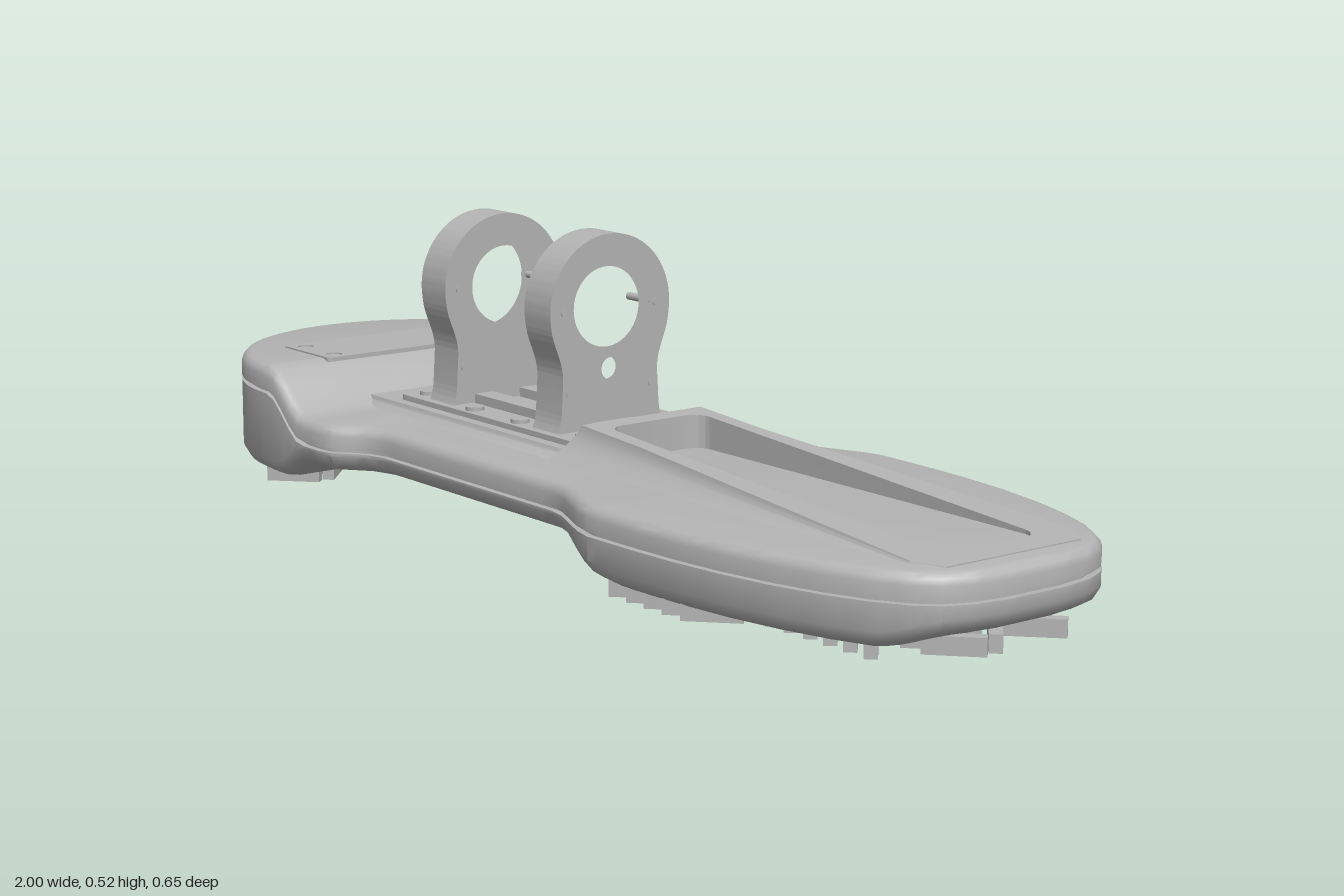
import * as THREE from 'three';
import { mergeGeometries, toCreasedNormals } from 'three/addons/utils/BufferGeometryUtils.js';

const grey = new THREE.MeshStandardMaterial({ color: 0xb4b4b4 });
grey.name = 'machinedGrey';

// Smoothly eased curve through [x, value] stops
const curve = (stops) => (x) => {
  let i = 1;
  while (i < stops.length - 1 && x > stops[i][0]) i++;
  const [x0, a] = stops[i - 1], [x1, b] = stops[i];
  return a + (b - a) * THREE.MathUtils.smoothstep(x, x0, x1);
};
const bottomY = curve([[-1, .06], [-.93, .03], [-.86, .02], [-.66, .02], [-.55, .06], [.12, .06], [.38, .02], [.88, .02], [1, .045]]);
const seamY = curve([[-1, .182], [-.68, .182], [-.56, .104], [1, .104]]);
const topY = curve([[-1, .23], [-.68, .23], [-.56, .15], [1, .15]]);

// Half of the foot's plan outline, heel to toe, as [x, z]
function halfOutline() {
  const key = [];
  for (let i = 0; i <= 16; i++) {
    const a = i / 16 * Math.PI / 2;
    key.push([-.68 - .32 * Math.cos(a), .325 * Math.sin(a)]);
  }
  key.push([-.5, .325], [-.47, .318], [-.42, .277], [-.38, .265], [.13, .265], [.17, .273], [.27, .315], [.31, .325],
    [.42, .323], [.52, .318], [.62, .307], [.72, .288], [.81, .263], [.88, .235], [.94, .198], [.97, .165], [.99, .12], [1, .06], [1, 0]);
  const pts = [key[0]];
  for (let i = 1; i < key.length; i++) {
    const [x0, z0] = key[i - 1], [x1, z1] = key[i];
    const n = Math.ceil(Math.hypot(x1 - x0, z1 - z0) / .03);
    for (let k = 1; k <= n; k++) pts.push([x0 + (x1 - x0) * k / n, z0 + (z1 - z0) * k / n]);
  }
  return pts;
}
const half = halfOutline();
const ring = [...half, ...half.slice(1, -1).reverse().map(([x, z]) => [x, -z])];

function halfWidth(x) {
  if (x <= -1 || x >= 1) return 0;
  const i = half.findIndex((p) => p[0] >= x);
  const [x0, z0] = half[i - 1], [x1, z1] = half[i];
  return z0 + (z1 - z0) * (x - x0) / (x1 - x0);
}

// Stack of inset outlines; each layer is [inset, height rule]
function shell(layers) {
  const pos = [], idx = [], m = ring.length, h = half.length;
  for (const [inset, yAt] of layers) {
    ring.forEach(([x, z], i) => {
      const p = ring[(i + m - 1) % m], q = ring[(i + 1) % m];
      const dx = q[0] - p[0], dz = q[1] - p[1], l = Math.hypot(dx, dz);
      pos.push(x + dz / l * inset, yAt(x), z - dx / l * inset);
    });
  }
  for (let k = 0; k < layers.length - 1; k++) {
    for (let i = 0; i < m; i++) {
      const a = k * m + i, b = k * m + (i + 1) % m;
      idx.push(a, b, b + m, a, b + m, a + m);
    }
  }
  const last = (layers.length - 1) * m;
  for (let i = 0; i < h - 1; i++) {
    const a = i, b = i + 1, c = (m - b) % m, d = (m - a) % m;
    if (i < h - 2) {
      idx.push(last + a, last + b, last + c);
      idx.push(a, c, b);
    } else {
      idx.push(last + a, last + b, last + d, a, d, b);
    }
    if (i > 0 && i < h - 2) {
      idx.push(last + a, last + c, last + d);
      idx.push(a, d, c);
    }
  }
  const g = new THREE.BufferGeometry();
  g.setAttribute('position', new THREE.Float32BufferAttribute(pos, 3));
  g.setIndex(idx);
  return toCreasedNormals(g, .6);
}

function mesh(name, geometry, parent) {
  const m = new THREE.Mesh(geometry, grey);
  m.name = name;
  parent.add(m);
  return m;
}

function roundRect(x0, x1, w, r, Type = THREE.Shape) {
  const s = new Type();
  s.absarc(x1 - r, w - r, r, 0, Math.PI / 2);
  s.absarc(x0 + r, w - r, r, Math.PI / 2, Math.PI);
  s.absarc(x0 + r, r - w, r, Math.PI, Math.PI * 1.5);
  s.absarc(x1 - r, r - w, r, Math.PI * 1.5, Math.PI * 2);
  s.closePath();
  return s;
}
const circle = (x, y, r) => new THREE.Path().absarc(x, y, r, 0, Math.PI * 2, true);

// Flat plate from a plan shape
function plate(shape, y0, y1, steps = 1) {
  const g = new THREE.ExtrudeGeometry(shape, { depth: y1 - y0, steps, bevelEnabled: false, curveSegments: 10 });
  return g.rotateX(-Math.PI / 2).translate(0, y0, 0);
}

// Raised deck whose outer walls sweep out towards the base
function deck(shape, topAt, flare, startShift) {
  const g = plate(shape, 0, 1, 5), p = g.attributes.position;
  for (let i = 0; i < p.count; i++) {
    const x = p.getX(i), t = p.getY(i), z = p.getZ(i), top = topAt(x);
    const spread = flare * (1 - t) ** 2 * Math.min(1, (top - .145) / .05);
    if (Math.abs(z) > .105) p.setZ(i, z + Math.sign(z) * spread);
    if (x < .05 && x > 0) p.setX(i, x - startShift * (1 - t));
    p.setY(i, .145 + (top - .145) * t);
  }
  return toCreasedNormals(g, .5);
}

// Upright ring bracket, with a wider counterbore in its outer face
function bracket(name, x, side, parent) {
  const group = new THREE.Group();
  group.name = name;
  const outline = (bore) => {
    const s = new THREE.Shape();
    s.moveTo(-.122, .165);
    s.quadraticCurveTo(-.107, .185, -.106, .22);
    s.lineTo(-.103, .27);
    s.bezierCurveTo(-.103, .31, -.125, .33, -.1284, .37);
    s.absarc(0, .39, .13, Math.PI + .155, -.155, true);
    s.bezierCurveTo(.125, .33, .103, .31, .103, .27);
    s.lineTo(.106, .22);
    s.quadraticCurveTo(.107, .185, .122, .165);
    s.closePath();
    s.holes.push(circle(0, .39, bore), circle(0, .282, .02));
    return s;
  };
  const slab = (bore, depth, cx) => toCreasedNormals(
    new THREE.ExtrudeGeometry(outline(bore), { depth, bevelEnabled: false, curveSegments: 32 })
      .translate(0, 0, -depth / 2).rotateY(-Math.PI / 2).translate(cx, 0, 0), .5);
  mesh('bracketBody', slab(.071, .064, x - side * .006), group);
  mesh('bracketCounterbore', slab(.085, .012, x + side * .032), group);
  for (const [z, y] of [[.1, .39], [-.1, .39], [.09, .247], [-.09, .247]]) {
    mesh('bracketPin', new THREE.CylinderGeometry(.007, .007, .079, 12).rotateZ(Math.PI / 2).translate(x, y, z), group);
  }
  parent.add(group);
}

// Herringbone tread lugs that fit within the outline
function tread(x0, x1) {
  const bars = [];
  for (let row = -3; row <= 3; row++) {
    const angle = (row % 2 ? 1 : -1) * .75;
    for (let x = x0; x <= x1; x += .046) {
      const z = row * .085, ex = Math.cos(angle) * .05, ez = Math.abs(Math.sin(angle)) * .05;
      const room = Math.min(halfWidth(x - ex), halfWidth(x + ex)) - .022;
      if (Math.abs(z) + ez > room) continue;
      bars.push(new THREE.BoxGeometry(.1, .03, .022).rotateY(angle).translate(x, .015, z));
    }
  }
  return mergeGeometries(bars);
}

export function createModel() {
  const foot = new THREE.Group();
  foot.name = 'roboticFoot';
  const up = (rule, d) => (x) => rule(x) + d;

  // Sole and upper, parted by a seam groove
  mesh('sole', shell([[.055, bottomY], [.03, up(bottomY, .004)], [.012, up(bottomY, .014)], [0, up(bottomY, .034)],
    [0, up(seamY, -.004)], [.012, up(seamY, -.004)], [.012, up(seamY, .012)]]), foot);
  mesh('upper', shell([[.012, up(seamY, .004)], [0, up(seamY, .004)], [0, up(topY, -.02)], [.003, up(topY, -.01)],
    [.01, up(topY, -.003)], [.02, topY]]), foot);

  // Instep deck and sloping toe deck with its long pocket
  mesh('instepDeck', deck(roundRect(-.62, .02, .15, .03), () => .168, .06, 0), foot);
  const toe = new THREE.Shape([[.035, -.13], [.2, -.13], [.9, -.168], [.95, -.14], [.95, .14], [.9, .168], [.2, .13], [.035, .13]]
    .map(([x, y]) => new THREE.Vector2(x, y)));
  toe.holes.push(roundRect(.07, .9, .1, .03, THREE.Path));
  mesh('toeDeck', deck(toe, (x) => .212 - .062 * (x - .03) / .95, .055, .04), foot);

  // Heel cover with screw holes
  const cover = roundRect(-.82, -.66, .2, .008);
  for (const x of [-.79, -.69]) for (const z of [-.17, .17]) cover.holes.push(circle(x, z, .015));
  mesh('heelCover', plate(cover, .225, .233), foot);

  // Mounting plate, centre rails and bolts
  mesh('mountingPlate', plate(roundRect(-.535, .025, .13, .025), .16, .178), foot);
  for (const s of [-1, 1]) {
    mesh('mountRail', new THREE.BoxGeometry(.24, .02, .04).translate(-.25, .185, s * .05), foot);
    for (const [x, z] of [[-.49, .09], [-.32, .105], [-.18, .105], [-.01, .09]]) {
      mesh('mountBolt', new THREE.CylinderGeometry(.017, .017, .012, 16).translate(x, .179, s * z), foot);
    }
  }
  for (const x of [-.487, -.022]) mesh('mountPad', plate(roundRect(x - .03, x + .03, .05, .015), .17, .19), foot);

  bracket('rearBracket', -.412, -1, foot);
  bracket('frontBracket', -.092, 1, foot);

  // Underside treads and arch screws
  mesh('heelTread', tread(-.93, -.66), foot);
  mesh('toeTread', tread(.36, .95), foot);
  for (const x of [-.4, -.1]) {
    for (const z of [-.07, 0, .07]) mesh('archScrew', new THREE.CylinderGeometry(.02, .02, .008, 16).translate(x, .06, z), foot);
  }
  return foot;
}
